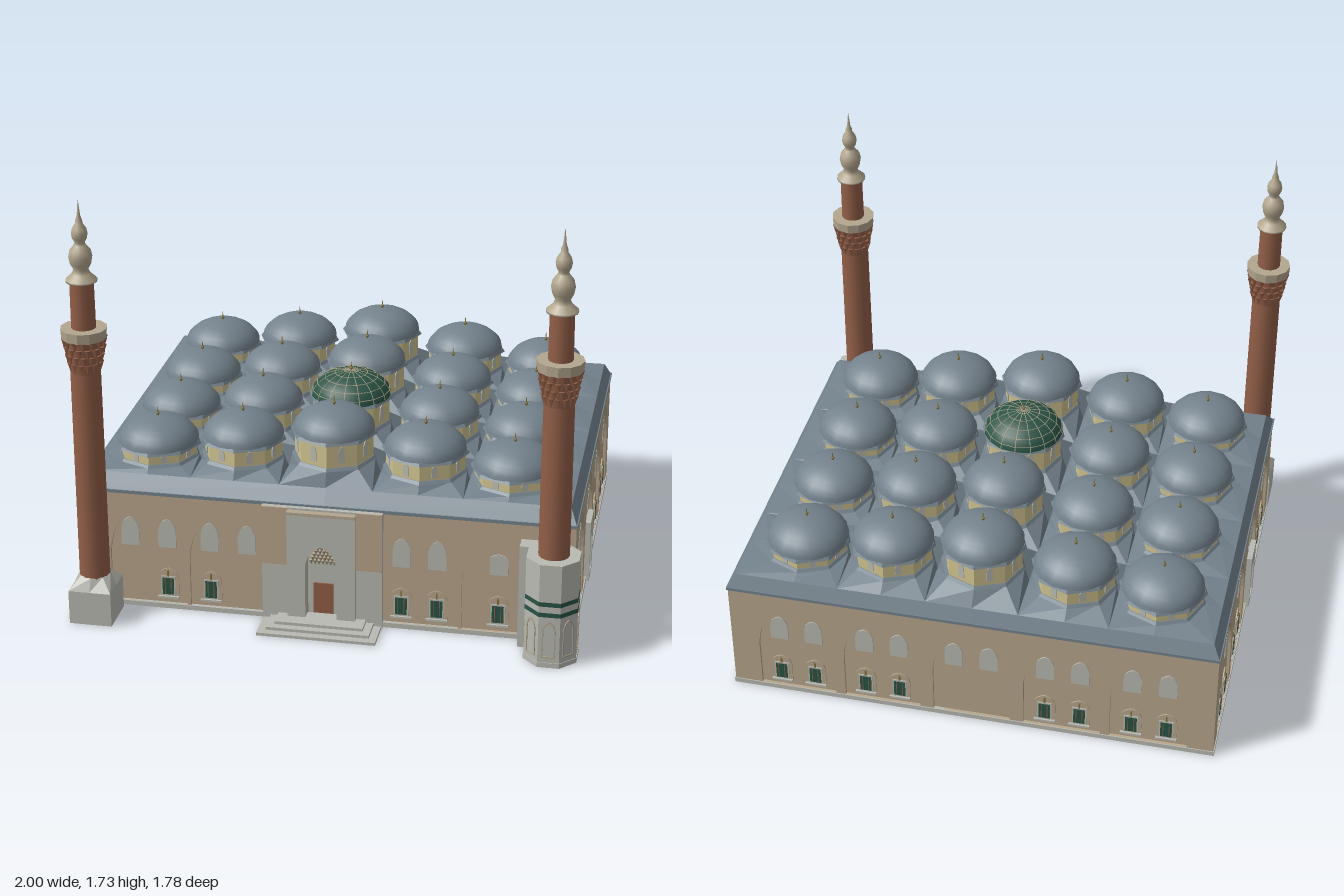
import * as THREE from 'three';

const mat = (name, color) => Object.assign(new THREE.MeshStandardMaterial({ color }), { name });
const M = {
  wall: mat('sandstone wall', 0xb8a68c),
  stone: mat('pale grey stone', 0xb9bab2),
  lead: mat('blue grey lead', 0x74828c),
  drum: mat('yellow limestone', 0xcfc28f),
  brick: mat('red brick', 0x925f48),
  green: mat('green tile', 0x2a5445),
  gold: mat('dull gold', 0x85743a),
  cap: mat('minaret stone', 0xb3a78f),
};

// Body extents and the dome grid
const X0 = -0.985, X1 = 0.97, Z0 = -0.885, Z1 = 0.68, WALL = 0.49, DEPTH = 0.012;
const CX = (X0 + X1) / 2, CZ = (Z0 + Z1) / 2;
const DOME_X = [-0.725, -0.378, -0.012, 0.352, 0.702];
const DOME_Z = [-0.65, -0.284, 0.08, 0.443];
const CELL_X = [-0.958, -0.55, -0.195, 0.174, 0.528, 0.943];
const CELL_Z = [-0.858, -0.472, -0.107, 0.257, 0.63];
const ROOF = 0.555;

function add(parent, name, geo, material, x = 0, y = 0, z = 0) {
  const m = new THREE.Mesh(geo, material);
  m.name = name;
  m.position.set(x, y, z);
  parent.add(m);
  return m;
}
function group(parent, name, x = 0, y = 0, z = 0, ry = 0) {
  const g = new THREE.Group();
  g.name = name;
  g.position.set(x, y, z);
  g.rotation.y = ry;
  parent.add(g);
  return g;
}
const box = (w, h, d) => new THREE.BoxGeometry(w, h, d);
function span(parent, name, material, x0, x1, y0, y1, z0, z1) {
  return add(parent, name, box(x1 - x0, y1 - y0, z1 - z0), material, (x0 + x1) / 2, (y0 + y1) / 2, (z0 + z1) / 2);
}
function flat(geo) {
  const g = geo.index ? geo.toNonIndexed() : geo;
  g.computeVertexNormals();
  return g;
}
const octagon = (rTop, rBottom, h) => flat(new THREE.CylinderGeometry(rTop, rBottom, h, 8));
const lathe = (pts, n) => new THREE.LatheGeometry(pts.map(p => new THREE.Vector2(...p)), n);

// Pointed arch outline, usable as a shape or a hole
function arch(cx, w, y0, spring, top, Type = THREE.Shape) {
  const s = new Type(), h = w / 2, mid = spring + (top - spring) * 0.75;
  s.moveTo(cx - h, y0);
  s.lineTo(cx + h, y0);
  s.lineTo(cx + h, spring);
  s.quadraticCurveTo(cx + h * 0.92, mid, cx, top);
  s.quadraticCurveTo(cx - h * 0.92, mid, cx - h, spring);
  s.closePath();
  return s;
}
function rect(x0, x1, y0, y1) {
  const s = new THREE.Shape();
  s.moveTo(x0, y0); s.lineTo(x1, y0); s.lineTo(x1, y1); s.lineTo(x0, y1); s.closePath();
  return s;
}
const plate = (shape, depth) => new THREE.ExtrudeGeometry(shape, { depth, bevelEnabled: false, curveSegments: 8 });

// Eight-point rings and the faceted surface between two of them
function squareRing(x0, x1, z0, z1, cx, cz, y) {
  return [[x1, y, cz], [x1, y, z1], [cx, y, z1], [x0, y, z1], [x0, y, cz], [x0, y, z0], [cx, y, z0], [x1, y, z0]];
}
function octRing(r, cx, cz, y) {
  return Array.from({ length: 8 }, (_, i) => [cx + r * Math.cos(i * Math.PI / 4), y, cz + r * Math.sin(i * Math.PI / 4)]);
}
function loft(a, b) {
  const p = [];
  a.forEach((_, i) => {
    const j = (i + 1) % a.length;
    p.push(...a[i], ...b[i], ...a[j], ...a[j], ...b[i], ...b[j]);
  });
  const g = new THREE.BufferGeometry();
  g.setAttribute('position', new THREE.Float32BufferAttribute(p, 3));
  g.computeVertexNormals();
  return g;
}

// One facade: a pierced outer skin with windows set back in its blind arches
function facade(parent, name, x, z, ry, length, bays, upper, lower) {
  const g = group(parent, name, x, 0, z, ry);
  const skin = rect(-length / 2, length / 2, 0, WALL);
  bays.forEach(b => skin.holes.push(arch(b[0], b[1], b[2], b[3], b[4], THREE.Path)));
  add(g, 'blindArches', plate(skin, DEPTH), M.wall, 0, 0, -DEPTH);
  upper.forEach(([u, top]) => add(g, 'upperWindow', plate(arch(u, 0.072, 0.262, 0.33, top), 0.005), M.stone, 0, 0, -DEPTH));
  lower.forEach(u => {
    add(g, 'windowSurround', plate(arch(u, 0.085, 0.045, 0.13, 0.172), 0.005), M.wall, 0, 0, -DEPTH);
    add(g, 'windowFrame', box(0.058, 0.085, 0.006), M.stone, u, 0.095, -0.006);
    add(g, 'windowPane', box(0.046, 0.072, 0.004), M.green, u, 0.095, -0.003);
    [-0.012, 0.012].forEach(d => add(g, 'windowBar', box(0.003, 0.072, 0.003), M.brick, u + d, 0.095, -0.001));
    add(g, 'windowSill', box(0.085, 0.008, 0.014), M.stone, u, 0.047, -0.004);
    add(g, 'windowFinial', box(0.006, 0.025, 0.005), M.gold, u, 0.15, -0.005);
  });
  return g;
}
const bay = (u, w = 0.31) => [u, w, 0.02, 0.23, 0.455];

function buildWalls(root) {
  span(root, 'bodyCore', M.wall, X0 + DEPTH, X1 - DEPTH, 0, WALL, Z0 + DEPTH, Z1 - DEPTH);
  const W = X1 - X0, L = Z1 - Z0;
  const fx = [-0.79, -0.64, -0.468, -0.318, 0.297, 0.437];
  facade(root, 'frontWall', CX, Z1, 0, W,
    [...[-0.715, -0.393, 0.367, 0.69].map(x => bay(x - CX)), [-0.012 - CX, 0.125, 0.03, 0.25, 0.345]],
    [...fx.map(x => [x - CX, 0.385]), [0.677 - CX, 0.35]], [-0.64, -0.465, 0.297, 0.437, 0.677].map(x => x - CX));
  const pairs = DOME_X.flatMap(x => [CX - x - 0.07, CX - x + 0.07]);
  facade(root, 'backWall', CX, Z0, Math.PI, W, DOME_X.map(x => bay(CX - x)),
    pairs.map(u => [u, 0.375]), pairs.filter((_, i) => i < 4 || i > 5));
  // Side walls are mirror images, each with a small arched doorway
  [1, -1].forEach(s => {
    const u = z => -s * (z - CZ);
    const low = [0.517, 0.384, -0.204, -0.336, -0.569, -0.7].map(u);
    const g = facade(root, s > 0 ? 'leftWall' : 'rightWall', s > 0 ? X1 : X0, CZ, s * Math.PI / 2, L,
      [0.45, 0.08, -0.275, -0.635].map(z => bay(u(z))), [...low, u(0.135), u(0.02)].map(v => [v, 0.375]), low);
    const d = u(0.08), frame = rect(d - 0.065, d + 0.065, 0, 0.262);
    frame.holes.push(arch(d, 0.085, 0.015, 0.14, 0.205, THREE.Path));
    add(g, 'sideDoorFrame', plate(frame, 0.027), M.stone, 0, 0, -DEPTH);
    add(g, 'sideDoorTympanum', plate(arch(d, 0.085, 0, 0.14, 0.205), 0.004), M.stone, 0, 0, -DEPTH);
    add(g, 'sideDoor', plate(arch(d, 0.068, 0, 0.11, 0.152), 0.008), M.brick, 0, 0, -DEPTH);
  });
  span(root, 'plinth', M.stone, X0 - 0.004, X1 + 0.004, 0, 0.02, Z0 - 0.004, Z1 + 0.004);
}

function buildPortal(root) {
  const g = group(root, 'portal', -0.012, 0, 0);
  const hole = s => (s.holes.push(arch(0, 0.125, 0.03, 0.25, 0.345, THREE.Path)), s);
  add(g, 'portalBlock', plate(hole(rect(-0.238, 0.238, 0, 0.495)), 0.024), M.stone, 0, 0, 0.68);
  add(g, 'portalPanel', plate(hole(rect(-0.135, 0.135, 0, 0.475)), 0.022), M.stone, 0, 0, 0.704);
  [-1, 1].forEach(s => add(g, 'portalUpperFacing', box(0.103, 0.245, 0.008), M.wall, s * 0.1865, 0.3725, 0.706));
  add(g, 'portalCornice', box(0.27, 0.012, 0.03), M.cap, 0, 0.481, 0.715);
  add(g, 'nicheBack', plate(arch(0, 0.124, 0.03, 0.25, 0.345), 0.003), M.stone, 0, 0, 0.668);
  add(g, 'mainDoor', box(0.078, 0.135, 0.008), M.brick, 0, 0.0975, 0.674);
  // Stalactite vault in the niche head
  for (let r = 0; r < 5; r++) {
    const n = 7 - r, y = 0.258 + r * 0.017;
    for (let i = 0; i < n; i++) {
      add(g, 'stalactite', new THREE.ConeGeometry(0.011, 0.022, 6), M.cap, (i - (n - 1) / 2) * 0.0155, y, 0.68 + r * 0.006).rotation.x = Math.PI;
    }
  }
  [[0.235, 0.84], [0.205, 0.81], [0.175, 0.78]].forEach(([w, z], i) =>
    span(g, 'entranceStep', M.stone, -w, w, i * 0.012, (i + 1) * 0.012, 0.68, z));
}

// Octagonal drum, shallow dome and finial on a faceted roof bay
function buildDome(root, x, z, eave, base, tiled) {
  const g = group(root, tiled ? 'tiledDome' : 'leadDome', x, 0, z);
  const h = eave - base, face = 0.157 * Math.cos(Math.PI / 8);
  add(g, 'drum', octagon(0.157, 0.157, h), M.drum, 0, base + h / 2, 0);
  add(g, 'drumFoot', octagon(0.16, 0.17, 0.012), M.lead, 0, base + 0.004, 0);
  add(g, 'eave', octagon(0.166, 0.174, 0.012), M.lead, 0, eave, 0);
  for (let i = 0; i < 8; i++) {
    const a = (i + 0.5) * Math.PI / 4;
    const w = group(g, 'drumWindow', face * Math.sin(a), 0, face * Math.cos(a), a);
    add(w, 'drumWindowPane', plate(arch(0, 0.026, base + h * 0.25, base + h * 0.6, base + h * 0.85), 0.004), M.stone, 0, 0, -0.001);
  }
  const R = 0.163, H = 0.1;
  const at = (t, k = 1) => [R * k * Math.cos(t), eave + 0.004 + H * k * Math.sin(t) ** 1.08];
  const profile = Array.from({ length: 9 }, (_, i) => at(i / 8 * Math.PI / 2));
  profile[8][0] = 0;
  add(g, 'domeShell', lathe(profile, 16), tiled ? M.green : M.lead);
  if (tiled) {
    const rib = new THREE.CatmullRomCurve3(profile.map(p => new THREE.Vector3(p[0], p[1], 0)));
    for (let i = 0; i < 16; i++) {
      add(g, 'domeRib', new THREE.TubeGeometry(rib, 12, 0.0018, 4), M.cap).rotation.y = i * Math.PI / 8;
    }
    [0.25, 0.55, 0.85, 1.15, 1.4].forEach(t => {
      const [r, y] = at(t);
      add(g, 'domeRing', new THREE.TorusGeometry(r, 0.0018, 4, 16), M.cap, 0, y, 0).rotation.x = Math.PI / 2;
    });
  }
  add(g, 'finialBall', new THREE.SphereGeometry(0.007, 8, 6), M.gold, 0, eave + 0.112, 0);
  add(g, 'finialSpike', new THREE.CylinderGeometry(0.001, 0.004, 0.036, 6), M.gold, 0, eave + 0.121, 0);
}

function buildRoof(root) {
  span(root, 'cornice', M.lead, X0 - 0.005, X1 + 0.005, WALL, 0.503, Z0 - 0.005, Z1 + 0.005);
  add(root, 'roofSkirt', loft(squareRing(X0, X1, Z0, Z1, CX, CZ, 0.503),
    squareRing(CELL_X[0], CELL_X[5], CELL_Z[0], CELL_Z[4], CX, CZ, ROOF)), M.lead);
  const eaves = [0.625, 0.672, 0.727, 0.672, 0.625], bases = [0.57, 0.59, 0.615, 0.59, 0.57];
  DOME_X.forEach((x, i) => DOME_Z.forEach((z, j) => {
    add(root, 'roofBay', loft(squareRing(CELL_X[i], CELL_X[i + 1], CELL_Z[j], CELL_Z[j + 1], x, z, ROOF),
      octRing(0.165, x, z, bases[i])), M.lead);
    buildDome(root, x, z, eaves[i], bases[i], i === 2 && j === 2);
  }));
}

function buildMinaret(root, name, x, z, bottom) {
  const g = group(root, name, x, 0, z);
  add(g, 'shaft', new THREE.CylinderGeometry(0.058, 0.06, 1.12 - bottom, 16), M.brick, 0, (1.12 + bottom) / 2, 0);
  add(g, 'corbelCore', new THREE.CylinderGeometry(0.078, 0.058, 0.14, 16), M.brick, 0, 1.115, 0);
  // Tiered stalactite corbels below the balcony
  for (let r = 0; r < 4; r++) for (let i = 0; i < 14; i++) {
    const a = (i + r / 2) * Math.PI / 7, d = 0.058 + r * 0.006;
    add(g, 'corbel', new THREE.ConeGeometry(0.014, 0.042, 5), M.brick, d * Math.sin(a), 1.065 + r * 0.032, d * Math.cos(a)).rotation.x = Math.PI;
  }
  add(g, 'balcony', flat(new THREE.CylinderGeometry(0.09, 0.087, 0.04, 12)), M.cap, 0, 1.2, 0);
  add(g, 'upperShaft', new THREE.CylinderGeometry(0.046, 0.047, 0.2, 16), M.brick, 0, 1.31, 0);
  add(g, 'spire', lathe([[0.046, 1.4], [0.06, 1.405], [0.06, 1.413], [0.036, 1.435], [0.028, 1.452], [0.04, 1.475], [0.045, 1.502],
    [0.04, 1.527], [0.023, 1.548], [0.019, 1.557], [0.028, 1.575], [0.031, 1.593], [0.027, 1.612], [0.014, 1.632],
    [0.013, 1.645], [0.007, 1.66], [0, 1.725]], 16), M.cap);
  return g;
}

function buildMinarets(root) {
  // Square-based minaret
  const a = buildMinaret(root, 'rightMinaret', -0.905, 0.787, 0.17);
  add(a, 'squareBase', box(0.17, 0.14, 0.176), M.stone, 0, 0.07, 0);
  add(a, 'baseShoulder', loft(squareRing(-0.085, 0.085, -0.088, 0.088, 0, 0, 0.14), octRing(0.062, 0, 0, 0.19)), M.stone);
  // Minaret on a tall octagonal base joined to the building
  const b = buildMinaret(root, 'leftMinaret', 0.897, 0.786, 0.42), R = 0.1 / Math.cos(Math.PI / 8);
  const oct = (n, r, h, y, m) => (add(b, n, octagon(r, r, h), m, 0, y, 0).rotation.y = Math.PI / 8);
  oct('octagonalBase', R, 0.43, 0.215, M.stone);
  oct('greenBand', R + 0.001, 0.018, 0.266, M.green);
  oct('greenBand', R + 0.001, 0.018, 0.222, M.green);
  oct('baseFoot', R + 0.003, 0.02, 0.01, M.stone);
  for (let i = 0; i < 8; i++) {
    const t = i * Math.PI / 4;
    const n = group(b, 'baseNiche', 0.1 * Math.sin(t), 0, 0.1 * Math.cos(t), t);
    const s = arch(0, 0.052, 0.04, 0.15, 0.195);
    s.holes.push(arch(0, 0.042, 0.046, 0.148, 0.187, THREE.Path));
    add(n, 'nicheFrame', plate(s, 0.003), M.cap);
  }
  span(root, 'minaretLink', M.stone, 0.762, 0.9, 0, 0.43, 0.67, 0.745);
}

export function createModel() {
  const root = new THREE.Group();
  root.name = 'domedBuilding';
  buildWalls(root);
  buildPortal(root);
  buildRoof(root);
  buildMinarets(root);
  return root;
}
